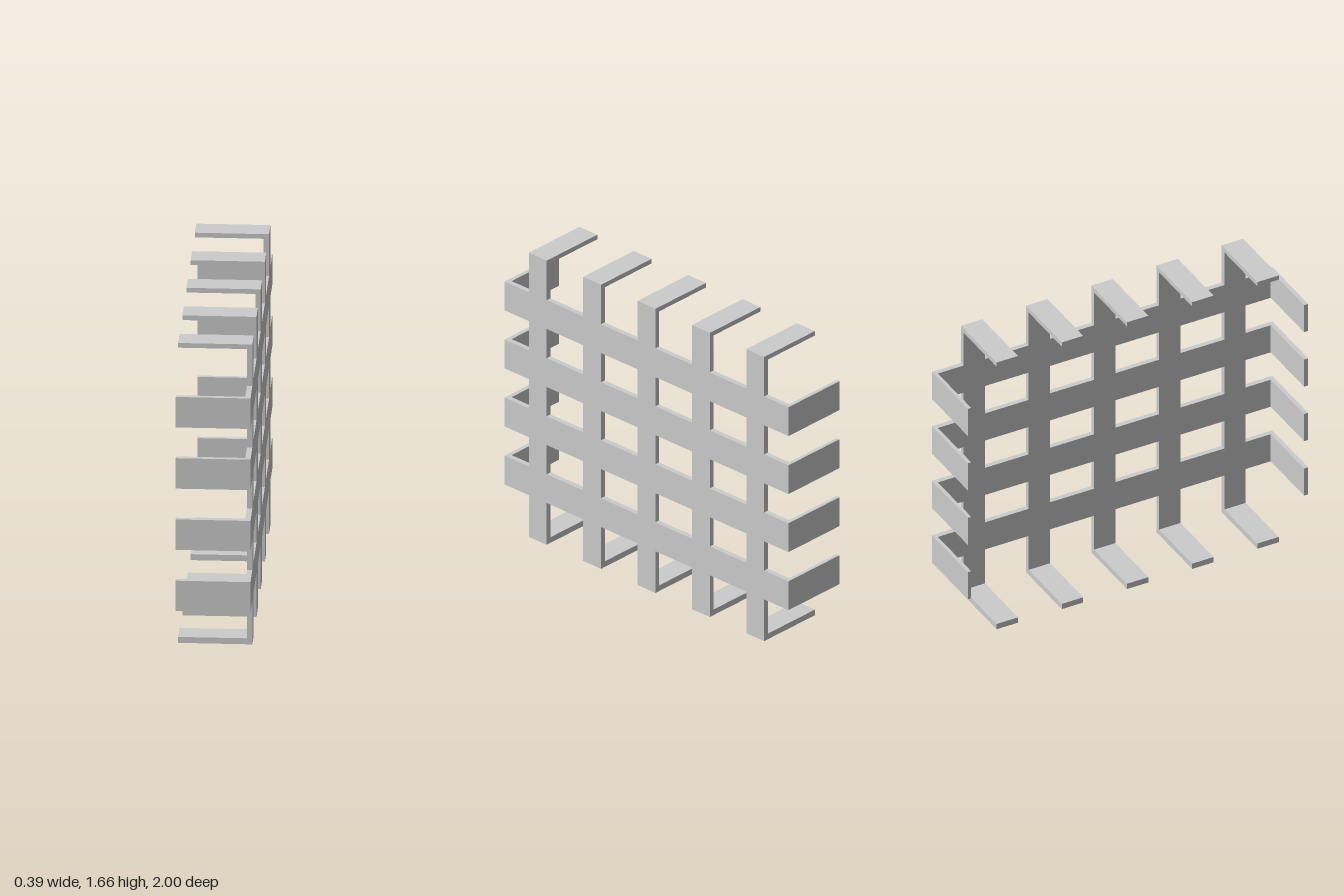
import * as THREE from 'three';

const material = new THREE.MeshStandardMaterial({ color: 0xcccccc, flatShading: true });

// Flat strip bent into a U that opens towards -x, extruded to its width.
function bentStrip(low, high, tip, width, lowThick, highThick) {
  const outer = 0.193, inner = 0.165;
  const shape = new THREE.Shape([
    [tip, low], [outer, low], [outer, high], [tip, high],
    [tip, high - highThick], [inner, high - highThick],
    [inner, low + lowThick], [tip, low + lowThick],
  ].map(([x, y]) => new THREE.Vector2(x, y)));
  return new THREE.ExtrudeGeometry(shape, { depth: width, bevelEnabled: false })
    .translate(0, 0, -width / 2);
}

export function createModel() {
  const model = new THREE.Group();
  model.name = 'lattice';

  // Upright strips with arms at the top and bottom
  const uprightGeometry = bentStrip(0, 1.665, -0.19, 0.126, 0.033, 0.026);
  for (let i = 0; i < 5; i++) {
    const upright = new THREE.Mesh(uprightGeometry, material);
    upright.name = `uprightStrip${i + 1}`;
    upright.position.z = (i - 2) * 0.383;
    model.add(upright);
  }

  // Level strips with arms at the front and back
  const levelGeometry = bentStrip(-1, 1, -0.193, 0.169, 0.02, 0.024).rotateX(Math.PI / 2);
  for (let i = 0; i < 4; i++) {
    const level = new THREE.Mesh(levelGeometry, material);
    level.name = `levelStrip${i + 1}`;
    level.position.y = 0.329 + i * 0.34;
    model.add(level);
  }
  return model;
}
